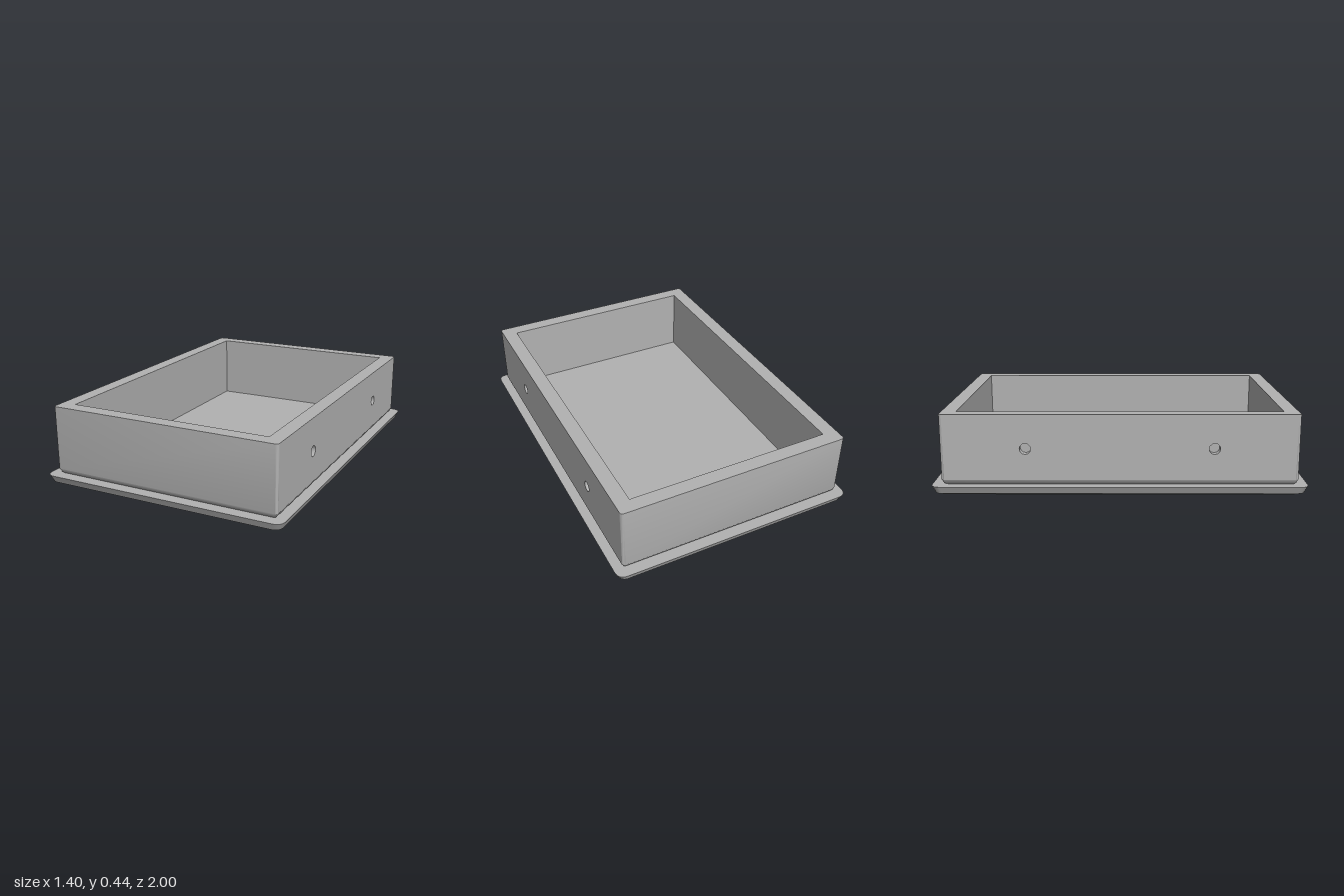
import * as THREE from 'three';
import { toCreasedNormals } from 'three/addons/utils/BufferGeometryUtils.js';

const SEG = 4; // segments per rounded corner
const WALL = { x: 0.655, z: 0.95, r: 0.016, low: 0.085, top: 0.44 };
const HOLE = { r: 0.03, y: 0.255, z: 0.5, depth: 0.04, sides: 12 };

// Rounded rectangle ring [half width, half depth, corner radius, height]
function ring([w, d, r, y]) {
  const points = [];
  for (let k = 0; k < 4; k++) {
    const sx = k === 0 || k === 3 ? 1 : -1;
    const sz = k < 2 ? 1 : -1;
    for (let i = 0; i <= SEG; i++) {
      const a = (k + i / SEG) * Math.PI / 2;
      points.push(new THREE.Vector3(sx * (w - r) + r * Math.cos(a), y, sz * (d - r) + r * Math.sin(a)));
    }
  }
  return points;
}

// Skin successive rings; skip(level, edge) leaves an opening
function loft(sections, skip = () => false) {
  const rings = sections.map(ring), pos = [];
  const tri = (a, b, c) => {
    if (new THREE.Triangle(a, b, c).getArea() > 1e-9) {
      for (const p of [a, b, c]) pos.push(p.x, p.y, p.z);
    }
  };
  for (let j = 0; j < rings.length - 1; j++) {
    const lo = rings[j], hi = rings[j + 1], n = lo.length;
    for (let i = 0; i < n; i++) {
      if (skip(j, i)) continue;
      const k = (i + 1) % n;
      tri(lo[i], hi[i], lo[k]);
      tri(hi[i], hi[k], lo[k]);
    }
  }
  const geo = new THREE.BufferGeometry();
  geo.setAttribute('position', new THREE.Float32BufferAttribute(pos, 3));
  return toCreasedNormals(geo, Math.PI / 6);
}

export function createModel() {
  const grey = new THREE.MeshStandardMaterial({ color: 0xb2b2b2 });
  grey.name = 'plain grey';
  const model = new THREE.Group();
  model.name = 'tray';
  const add = (parent, name, geo) => {
    const mesh = new THREE.Mesh(geo, grey);
    mesh.name = name;
    parent.add(mesh);
    return mesh;
  };

  // Base plate with a bevelled edge, its flange running in under the walls
  add(model, 'basePlate', loft([
    [0, 0, 0, 0],
    [0.64, 0.94, 0.02, 0],
    [0.683, 0.983, 0.04, 0.018],
    [0.7, 1, 0.045, 0.058],
    [0.6, 0.9, 0.01, 0.058],
  ]));

  // Walls: outer skin, rim, inner faces and floor; the two long sides stay open
  const sideEdges = [2 * (SEG + 1) - 1, 4 * (SEG + 1) - 1];
  add(model, 'walls', loft([
    [0.638, 0.933, 0.01, 0.058],
    [0.646, 0.941, 0.012, 0.067],
    [WALL.x, WALL.z, WALL.r, WALL.low],
    [WALL.x, WALL.z, WALL.r, WALL.top],
    [0.573, 0.87, 0, WALL.top],
    [0.573, 0.87, 0, 0.06],
    [0, 0, 0, 0.06],
  ], (level, edge) => level === 2 && sideEdges.includes(edge)));

  // Long side faces, each with two blind holes
  for (const side of [1, -1]) {
    const group = new THREE.Group();
    group.name = side > 0 ? 'leftSide' : 'rightSide';
    group.position.x = side * WALL.x;
    group.rotation.y = side * Math.PI / 2;
    model.add(group);

    const w = WALL.z - WALL.r;
    const shape = new THREE.Shape([
      new THREE.Vector2(-w, WALL.low), new THREE.Vector2(w, WALL.low),
      new THREE.Vector2(w, WALL.top), new THREE.Vector2(-w, WALL.top),
    ]);
    for (const z of [-HOLE.z, HOLE.z]) {
      const circle = [];
      for (let i = 0; i < HOLE.sides; i++) {
        const a = -i / HOLE.sides * Math.PI * 2;
        circle.push(new THREE.Vector2(z + HOLE.r * Math.cos(a), HOLE.y + HOLE.r * Math.sin(a)));
      }
      shape.holes.push(new THREE.Path(circle));

      // Hole lining, mirrored radially so that it faces inward
      const lining = new THREE.CylinderGeometry(HOLE.r, HOLE.r, HOLE.depth, HOLE.sides, 1, true);
      lining.rotateX(Math.PI / 2);
      const index = lining.index;
      for (let i = 0; i < index.count; i += 3) {
        const b = index.getX(i + 1);
        index.setX(i + 1, index.getX(i + 2));
        index.setX(i + 2, b);
      }
      lining.computeVertexNormals();
      add(group, 'holeLining', lining).position.set(z, HOLE.y, -HOLE.depth / 2);
      add(group, 'holeEnd', new THREE.CircleGeometry(HOLE.r, HOLE.sides)).position.set(z, HOLE.y, -HOLE.depth);
    }
    add(group, 'sideFace', new THREE.ShapeGeometry(shape));
  }
  return model;
}
